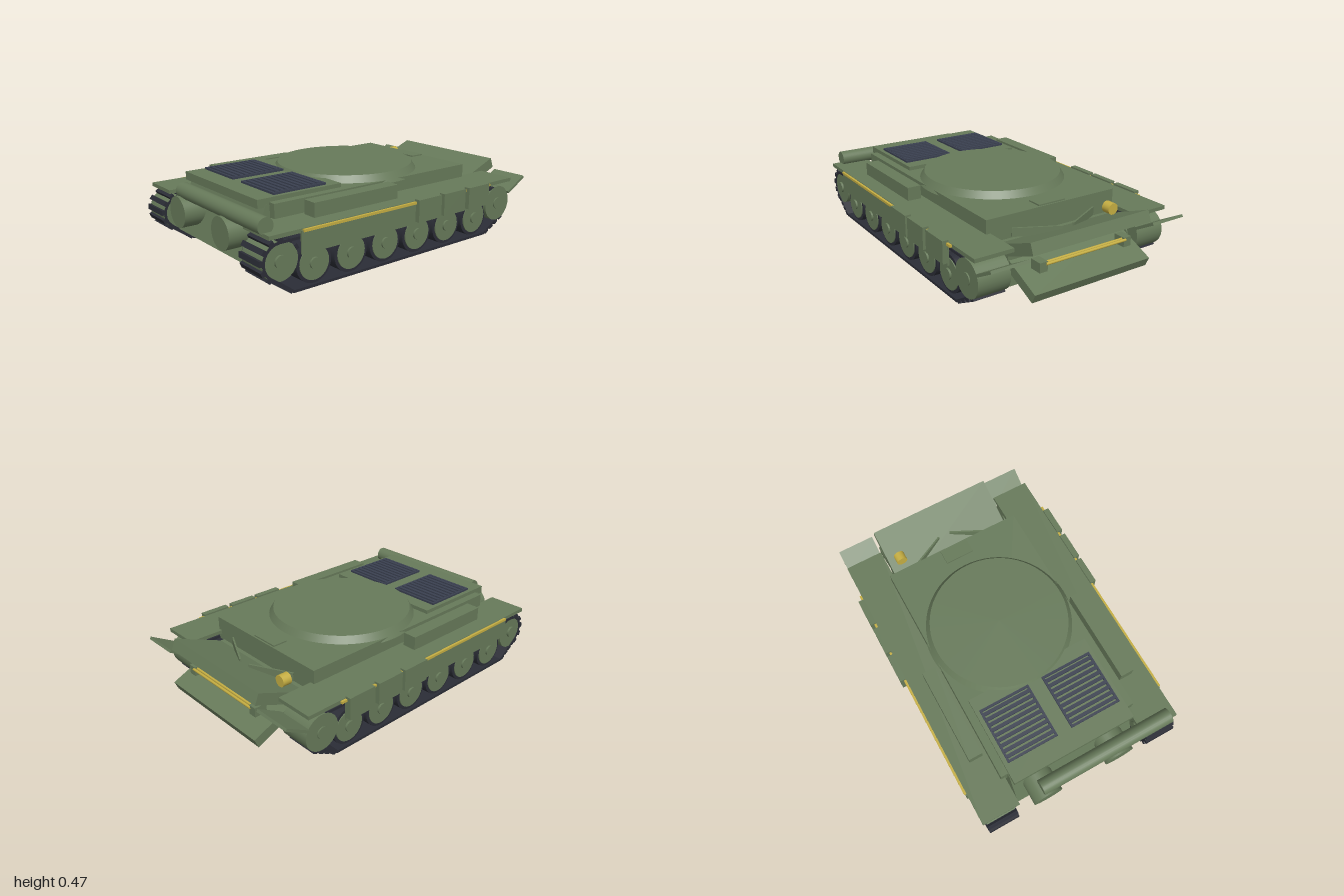
import * as THREE from 'three';

const mat = (name, color) => Object.assign(new THREE.MeshStandardMaterial({ color }), { name });

export function createModel() {
  const green = mat('armour green', 0x677a5a);
  const dark = mat('track steel', 0x2b2d36);
  const steel = mat('grille steel', 0x3a4050);
  const yellow = mat('brass yellow', 0xc5ae42);
  const root = new THREE.Group();
  root.name = 'trackedHull';

  const add = (parent, name, geo, m, x, y, z, rx = 0) => {
    const mesh = new THREE.Mesh(geo, m);
    mesh.name = name;
    mesh.position.set(x, y, z);
    mesh.rotation.x = rx;
    parent.add(mesh);
    return mesh;
  };
  // box given by its limits on each axis
  const block = (parent, name, m, x0, x1, y0, y1, z0, z1) =>
    add(parent, name, new THREE.BoxGeometry(Math.abs(x1 - x0), y1 - y0, z1 - z0), m,
      (x0 + x1) / 2, (y0 + y1) / 2, (z0 + z1) / 2);
  const rodX = (r, len, n = 24, r2 = r) => new THREE.CylinderGeometry(r, r2, len, n).rotateZ(Math.PI / 2);
  const rodZ = (r, len, n = 32) => new THREE.CylinderGeometry(r, r, len, n).rotateX(Math.PI / 2);

  // hull
  block(root, 'lowerHull', green, -0.395, 0.395, 0.1, 0.3, -0.77, 0.83);
  block(root, 'upperHull', green, -0.437, 0.437, 0.295, 0.435, -0.63, 0.78);
  block(root, 'engineDeck', green, -0.39, 0.39, 0.41, 0.458, 0.31, 0.85);
  add(root, 'upperGlacis', new THREE.BoxGeometry(0.79, 0.067, 0.42), green, 0, 0.311, -0.772, 0.38);
  add(root, 'lowerGlacis', new THREE.BoxGeometry(0.78, 0.058, 0.3), green, 0, 0.185, -0.846, -0.42);
  add(root, 'enginePlate', new THREE.BoxGeometry(0.79, 0.33, 0.06), green, 0, 0.261, 0.829, -0.33);
  add(root, 'turretRing', new THREE.CylinderGeometry(0.413, 0.45, 0.057, 64), green, 0, 0.4465, -0.03);
  block(root, 'hatch', green, -0.09, 0.09, 0.43, 0.443, -0.62, -0.53);

  // engine grilles: frame, slats
  for (const s of [-1, 1]) {
    const g = new THREE.Group();
    g.name = 'engineGrille';
    g.position.set(s * 0.205, 0, 0.565);
    root.add(g);
    for (const e of [-1, 1]) {
      block(g, 'frameSide', steel, e * 0.16, e * 0.147, 0.45, 0.47, -0.17, 0.17);
      block(g, 'frameEnd', steel, -0.16, 0.16, 0.45, 0.47, e * 0.163 - 0.007, e * 0.163 + 0.007);
    }
    for (let i = 0; i < 9; i++) {
      const z = -0.136 + i * 0.034;
      block(g, 'slat', steel, -0.15, 0.15, 0.45, 0.473, z - 0.01, z + 0.01);
    }
  }

  // unditching log, drums and cable at the engine end
  add(root, 'log', rodX(0.046, 0.855), green, 0.163, 0.387, 0.932);
  for (const s of [-1, 1]) add(root, 'drum', rodZ(0.092, 0.15), green, s * 0.24, 0.27, 0.912);
  add(root, 'towCable', rodX(0.012, 0.42, 12), yellow, 0, 0.34, 0.91);

  // fittings at the glacis end
  add(root, 'headlamp', rodZ(0.034, 0.055, 20), yellow, -0.32, 0.377, -0.737);
  for (const s of [-1, 1]) {
    const board = add(root, 'splashBoard', new THREE.BoxGeometry(0.27, 0.05, 0.01), green, s * 0.16, 0.335, -0.7);
    board.rotation.y = s * -0.46;
    block(root, 'barBracket', green, s * 0.26, s * 0.31, 0.22, 0.275, -0.925, -0.85);
  }
  for (const z of [-0.905, -0.925]) add(root, 'towBar', rodX(0.008, 0.54, 8), yellow, 0, 0.262, z);

  // track loop outline in (z, y), grown outward by o
  const SZ = 0.875, IZ = -0.745, WY = 0.205;
  const loop = (o) => {
    const p = [];
    const arc = (cz, r, a0, a1) => {
      for (let i = 0; i <= 8; i++) {
        const a = THREE.MathUtils.degToRad(a0 + (a1 - a0) * i / 8);
        p.push(new THREE.Vector2(cz + r * Math.cos(a), WY + r * Math.sin(a)));
      }
    };
    arc(SZ, 0.09 + o, -52, 90);
    arc(IZ, 0.09 + o, 90, 232);
    p.push(new THREE.Vector2(-0.635 - o * 0.3, 0.035 - o), new THREE.Vector2(0.795 + o * 0.3, 0.035 - o));
    return p;
  };
  const beltShape = new THREE.Shape(loop(0.015));
  beltShape.holes.push(new THREE.Path(loop(0)));
  const beltGeo = new THREE.ExtrudeGeometry(beltShape, { depth: 0.19, bevelEnabled: false })
    .translate(0, 0, -0.095).rotateY(-Math.PI / 2);

  const X = 0.531;
  for (const s of [-1, 1]) {
    const side = new THREE.Group();
    side.name = s > 0 ? 'leftRunningGear' : 'rightRunningGear';
    root.add(side);
    const x = s * X;

    // track, guide horns and link pads
    add(side, 'trackBelt', beltGeo, dark, x, 0, 0);
    for (let i = 0; i < 40; i++)
      add(side, 'guideHorn', new THREE.BoxGeometry(0.02, 0.022, 0.018), dark, x, 0.011, 0.78 - i * 0.036);
    const pad = (z, y, rx) => add(side, 'linkPad', new THREE.BoxGeometry(0.192, 0.018, 0.03), dark, x, y, z, rx);
    for (let i = 0; i < 8; i++) {
      const a = -0.9 + i * 0.5;
      pad(SZ + 0.112 * Math.cos(a), WY + 0.112 * Math.sin(a), Math.PI / 2 - a);
    }
    for (let i = 0; i < 4; i++) {
      const t = (i + 0.5) / 4;
      pad(0.805 + t * 0.13, 0.025 + t * 0.095, -0.63);
      pad(-0.645 - t * 0.165, 0.025 + t * 0.09, 0.5);
    }

    // sprocket and idler
    add(side, 'sprocket', rodX(0.106, 0.184, 24), green, x, WY, SZ);
    add(side, 'idler', rodX(0.108, 0.196, 28), green, x, WY, IZ);
    for (const z of [SZ, IZ]) add(side, 'endHub', rodX(0.035, 0.21, 16), green, x, WY, z);

    // road wheels
    for (let i = 0; i < 6; i++) {
      const z = 0.663 - i * 0.2416;
      add(side, 'tyre', rodX(0.11, 0.16, 32), dark, x, 0.146, z);
      add(side, 'wheelDisc', rodX(0.092, 0.172, 32), green, x, 0.146, z);
      add(side, 'wheelHub', rodX(0.032, 0.195, 16), green, x, 0.146, z);
    }

    // fender, flap, skirt and stowage
    block(side, 'fender', green, s * 0.41, s * 0.645, 0.333, 0.355, -0.845, 0.95);
    add(side, 'mudFlap', new THREE.BoxGeometry(0.23, 0.016, 0.165), green, s * 0.527, 0.3, -0.91, 0.51);
    block(side, 'skirt', green, s * 0.642, s * 0.652, 0.222, 0.345, -0.6, 0.765);
    block(side, 'skirtRail', yellow, s * 0.645, s * 0.659, 0.338, 0.352, -0.635, 0.755);
    block(side, 'fenderBox', green, s * 0.463, s * 0.547, 0.35, 0.435, 0.03, 0.61);
    for (const z of [-0.51, -0.3, -0.1])
      block(side, 'sideBox', green, s * 0.643, s * 0.68, 0.236, 0.365, z - 0.089, z + 0.089);
  }
  return root;
}
